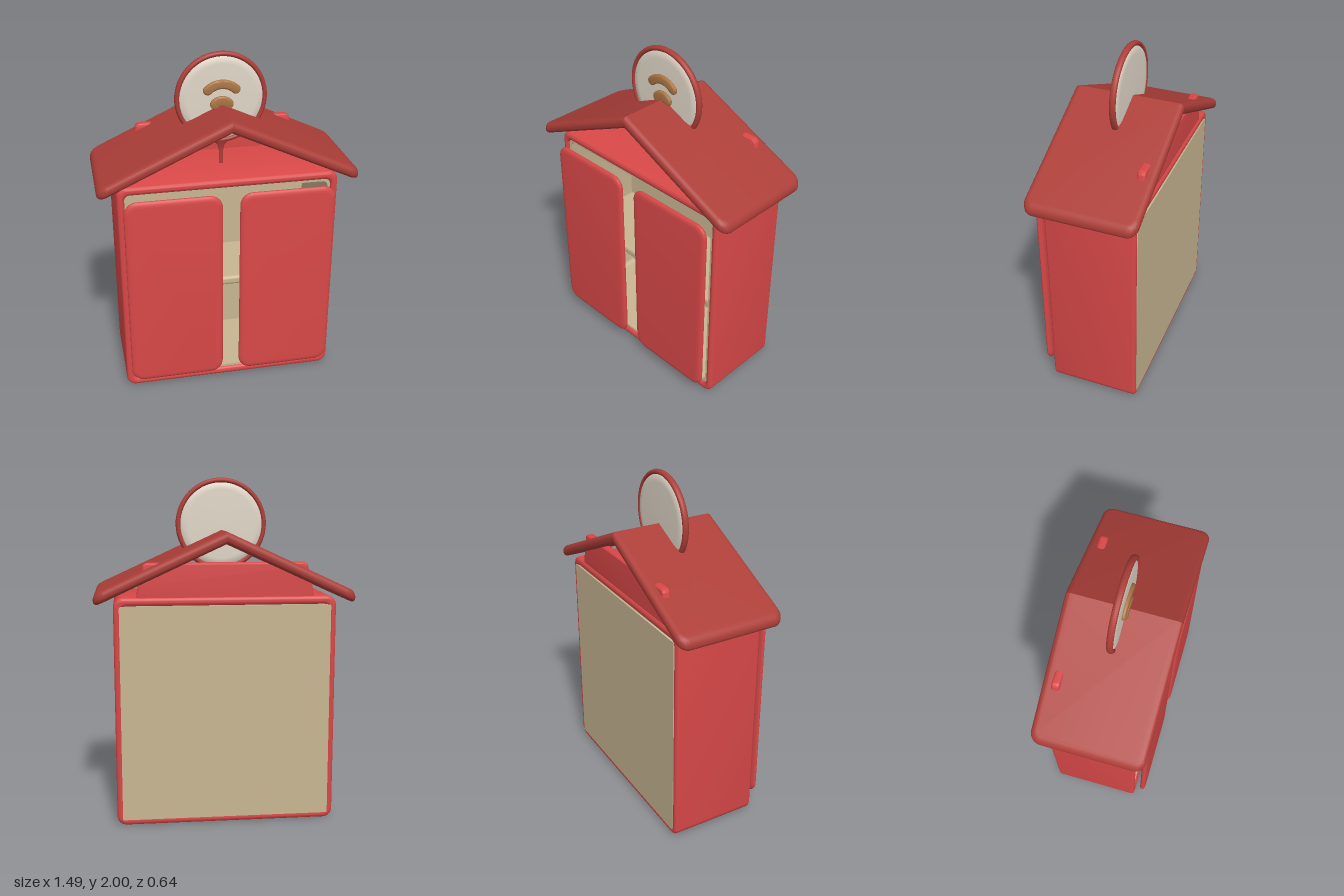
import * as THREE from 'three';
import { toCreasedNormals } from 'three/addons/utils/BufferGeometryUtils.js';
import { RoundedBoxGeometry } from 'three/addons/geometries/RoundedBoxGeometry.js';

const paint = (name, color) => Object.assign(new THREE.MeshStandardMaterial({ color }), { name });

// Rounded rectangle outline between two corners
function roundRect(path, x0, y0, x1, y1, r) {
  path.moveTo(x0 + r, y0);
  path.lineTo(x1 - r, y0);
  path.absarc(x1 - r, y0 + r, r, -Math.PI / 2, 0);
  path.lineTo(x1, y1 - r);
  path.absarc(x1 - r, y1 - r, r, 0, Math.PI / 2);
  path.lineTo(x0 + r, y1);
  path.absarc(x0 + r, y1 - r, r, Math.PI / 2, Math.PI);
  path.lineTo(x0, y0 + r);
  path.absarc(x0 + r, y0 + r, r, Math.PI, Math.PI * 1.5);
  return path;
}

// Extrudes a shape from z0 to z1 with edges rounded inside its outline
function slab(shape, z0, z1, bevelSize, bevelThickness = bevelSize) {
  const g = new THREE.ExtrudeGeometry(shape, {
    depth: z1 - z0 - 2 * bevelThickness, bevelEnabled: bevelSize > 0,
    bevelSize, bevelThickness, bevelOffset: -bevelSize, bevelSegments: 5, curveSegments: 8,
  });
  g.translate(0, 0, z0 + bevelThickness);
  return toCreasedNormals(g, 0.7);
}

// Curved bar with round ends, centred on the vertical axis
function arcShape(cy, radius, halfWidth, spread) {
  const a0 = Math.PI / 2 - spread, a1 = Math.PI / 2 + spread;
  const s = new THREE.Shape();
  s.absarc(0, cy, radius + halfWidth, a0, a1);
  s.absarc(Math.cos(a1) * radius, cy + Math.sin(a1) * radius, halfWidth, a1, a1 + Math.PI);
  s.absarc(0, cy, radius - halfWidth, a1, a0, true);
  s.absarc(Math.cos(a0) * radius, cy + Math.sin(a0) * radius, halfWidth, a0 + Math.PI, a0 + Math.PI * 2);
  return s;
}

// Half of the roof: a rounded slab cut at the ridge and sheared downwards
function roofHalf() {
  const g = slab(roundRect(new THREE.Shape(), -0.2, -0.322, 0.745, 0.322, 0.06), 0, 0.07, 0.03);
  g.rotateX(-Math.PI / 2);
  const p = g.attributes.position;
  for (let i = 0; i < p.count; i++) {
    const x = Math.max(p.getX(i), 0);
    p.setXYZ(i, x, p.getY(i) + 1.63 - 0.46 * x, p.getZ(i));
  }
  return toCreasedNormals(g, 0.7);
}

export function createModel() {
  const red = paint('red', 0xd94848);
  const darkRed = paint('dark red', 0xac3e38);
  const tan = paint('tan', 0xc8b692);
  const cream = paint('cream', 0xe0d6c7);
  const brown = paint('brown', 0xab7645);

  const model = new THREE.Group();
  model.name = 'houseCabinet';
  const add = (name, geometry, material, parent = model) => {
    const m = new THREE.Mesh(geometry, material);
    m.name = name;
    parent.add(m);
    return m;
  };

  // Cabinet shell, open at the front
  const shell = roundRect(new THREE.Shape(), -0.635, 0.005, 0.635, 1.335, 0.055);
  shell.holes.push(roundRect(new THREE.Path(), -0.592, 0.053, 0.592, 1.285, 0.03));
  add('cabinetShell', slab(shell, -0.28, 0.25, 0.02), red);

  // Tan lining, back panel and shelf
  const lining = roundRect(new THREE.Shape(), -0.6, 0.045, 0.6, 1.293, 0.03);
  lining.holes.push(roundRect(new THREE.Path(), -0.578, 0.067, 0.578, 1.272, 0.03));
  add('lining', slab(lining, -0.27, 0.235, 0), tan);
  const back = roundRect(new THREE.Shape(), -0.603, 0.038, 0.603, 1.285, 0.01);
  add('backPanel', slab(back, -0.282, -0.25, 0), tan);
  const shelf = add('shelf', new RoundedBoxGeometry(1.16, 0.055, 0.45, 4, 0.02), tan);
  shelf.position.set(0, 0.645, -0.03);

  // Pair of doors standing just ahead of the opening
  for (const side of [-1, 1]) {
    const x = side * 0.328;
    const door = roundRect(new THREE.Shape(), x - 0.278, 0.08, x + 0.278, 1.27, 0.075);
    add(side > 0 ? 'leftDoor' : 'rightDoor', slab(door, 0.281, 0.316, 0.035, 0.0165), red);
  }

  // Gable board whose upper corners poke through the roof
  const gable = new THREE.Shape();
  gable.moveTo(-0.51, 1.3);
  gable.lineTo(0.51, 1.3);
  gable.lineTo(0.495, 1.4);
  gable.lineTo(0.47, 1.5);
  gable.quadraticCurveTo(0.468, 1.525, 0.44, 1.527);
  gable.lineTo(-0.44, 1.527);
  gable.quadraticCurveTo(-0.468, 1.525, -0.47, 1.5);
  gable.lineTo(-0.495, 1.4);
  add('gable', slab(gable, -0.27, -0.222, 0.012), red);

  // Roof
  const roof = new THREE.Group();
  roof.name = 'roof';
  model.add(roof);
  const half = roofHalf();
  add('leftRoof', half, darkRed, roof);
  add('rightRoof', half, darkRed, roof).rotation.y = Math.PI;

  // Round sign on a short stem
  const sign = new THREE.Group();
  sign.name = 'sign';
  model.add(sign);
  const rim = add('signRim', new THREE.TorusGeometry(0.252, 0.0145, 12, 64), darkRed, sign);
  rim.position.set(0, 1.734, -0.003);
  rim.scale.z = 1.3;
  const profile = [[0, -0.022], [0.2, -0.021], [0.235, -0.015], [0.245, 0],
    [0.235, 0.015], [0.2, 0.021], [0, 0.022]].map(([r, y]) => new THREE.Vector2(r, y));
  const disc = add('signDisc', new THREE.LatheGeometry(profile, 64), cream, sign);
  disc.rotation.x = Math.PI / 2;
  disc.position.set(0, 1.734, -0.004);
  const stem = [[0.012, 1.32], [0.012, 1.41], [0.018, 1.445], [0.045, 1.48]]
    .map(([r, y]) => new THREE.Vector2(r, y));
  add('signStem', new THREE.LatheGeometry(stem, 16), darkRed, sign).scale.z = 0.4;

  // Raised curved bars on the sign
  add('upperBar', slab(arcShape(1.70, 0.118, 0.026, 0.75), 0.01, 0.036, 0.01), brown, sign);
  add('lowerBar', slab(arcShape(1.667, 0.053, 0.029, 0.8), 0.01, 0.036, 0.01), brown, sign);

  return model;
}
